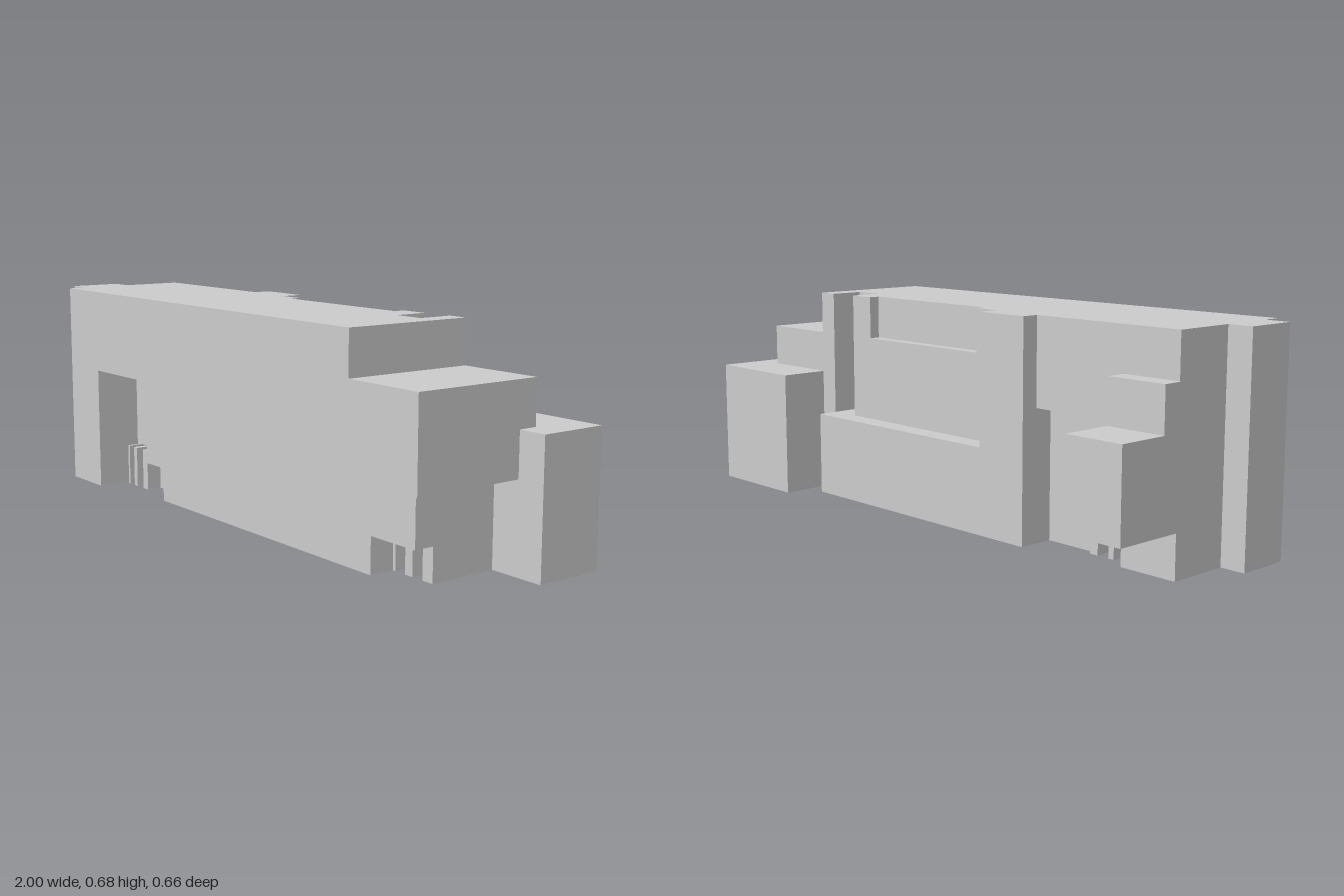
import * as THREE from 'three';

const STOREY = 0.135;

export function createModel() {
  const model = new THREE.Group();
  const material = new THREE.MeshStandardMaterial({ color: 0xcccccc, flatShading: true });

  // Raises a floor plan of [x, z] corners between two heights
  const storey = (name, y0, y1, plan) => {
    const shape = new THREE.Shape(plan.map(([x, z]) => new THREE.Vector2(x, -z)));
    const geometry = new THREE.ExtrudeGeometry(shape, { depth: y1 - y0, bevelEnabled: false });
    geometry.rotateX(-Math.PI / 2);
    geometry.translate(0, y0, 0);
    const mesh = new THREE.Mesh(geometry, material);
    mesh.name = name;
    model.add(mesh);
  };

  const block = (name, [x0, x1], [y0, y1], [z0, z1]) => {
    const mesh = new THREE.Mesh(new THREE.BoxGeometry(x1 - x0, y1 - y0, z1 - z0), material);
    mesh.position.set((x0 + x1) / 2, (y0 + y1) / 2, (z0 + z1) / 2);
    mesh.name = name;
    model.add(mesh);
  };

  // Plan pieces shared by several storeys
  const stairEnd = [[-0.92, -0.1], [-0.92, 0.1], [-1, 0.1], [-1, 0.27], [-0.92, 0.27], [-0.92, 0.33]];
  const frontPorch = [[-0.73, 0.33], [-0.73, 0.18], [-0.41, 0.18], [-0.41, 0.33]];
  const rearPorch = [[-0.4, -0.04], [-0.73, -0.04], [-0.73, -0.1]];
  const rearNotch = [[0.57, -0.09], [0.57, 0.02], [0.47, 0.02], [0.47, -0.085]];
  const rearTower = [[-0.22, -0.085], [-0.22, -0.155], [-0.4, -0.155]];
  const rearLedge = [[0.57, -0.09], [0.57, -0.155], [-0.4, -0.155]];
  const roofSlot = [[0.38, -0.085], [0.38, -0.05], [-0.13, -0.05], [-0.13, -0.085]];

  // Ground floor, split by an open passage
  storey('groundFloorEnd', 0, STOREY, [
    ...stairEnd, [-0.73, 0.33], [-0.73, 0.18], [-0.71, 0.18], [-0.71, -0.04], [-0.73, -0.04], [-0.73, -0.1],
  ]);
  storey('groundFloorMain', 0, STOREY, [
    [-0.58, 0.18], [-0.41, 0.18], [-0.41, 0.27], [0.66, 0.27], [0.66, 0.11], [0.82, 0.11],
    [0.82, -0.09], ...rearLedge, [-0.4, -0.04], [-0.58, -0.04],
  ]);

  // Upper floors
  storey('firstFloor', STOREY, 2 * STOREY, [
    ...stairEnd, ...frontPorch, [0.905, 0.33], [0.905, 0.1], [0.82, 0.1], [0.82, -0.09], ...rearLedge, ...rearPorch,
  ]);
  storey('secondFloor', 2 * STOREY, 3 * STOREY, [
    ...stairEnd, ...frontPorch, [0.91, 0.33], [0.91, -0.09], ...rearNotch, ...rearTower, ...rearPorch,
  ]);
  storey('thirdFloor', 3 * STOREY, 4 * STOREY, [
    ...stairEnd, [0.91, 0.33], [0.91, -0.09], ...rearNotch, ...rearTower, [-0.4, -0.1],
  ]);
  storey('topFloor', 4 * STOREY, 5 * STOREY, [
    ...stairEnd, [0.635, 0.33], [0.635, -0.09], ...rearNotch, ...roofSlot, ...rearTower, [-0.4, -0.1],
  ]);

  // Wings at the back
  block('sideWing', [0.635, 1], [0, 3 * STOREY], [-0.25, -0.03]);
  block('rearWingUpper', [-0.925, -0.73], [STOREY, 4 * STOREY], [-0.165, -0.1]);
  block('rearWingLower', [-0.925, -0.73], [STOREY, 3 * STOREY], [-0.33, -0.165]);

  // Piers at both mouths of the passage
  for (const [x0, x1] of [[-0.71, -0.7], [-0.67, -0.65], [-0.61, -0.58]]) {
    block('passagePierFront', [x0, x1], [0, STOREY], [0.16, 0.23]);
    block('passagePierRear', [x0, x1], [0, STOREY], [-0.06, 0]);
  }

  // Piers under the overhanging corner
  for (const [x0, x1] of [[0.66, 0.67], [0.71, 0.74], [0.78, 0.82]]) {
    block('cornerPier', [x0, x1], [0, STOREY], [0.11, 0.19]);
  }

  return model;
}
